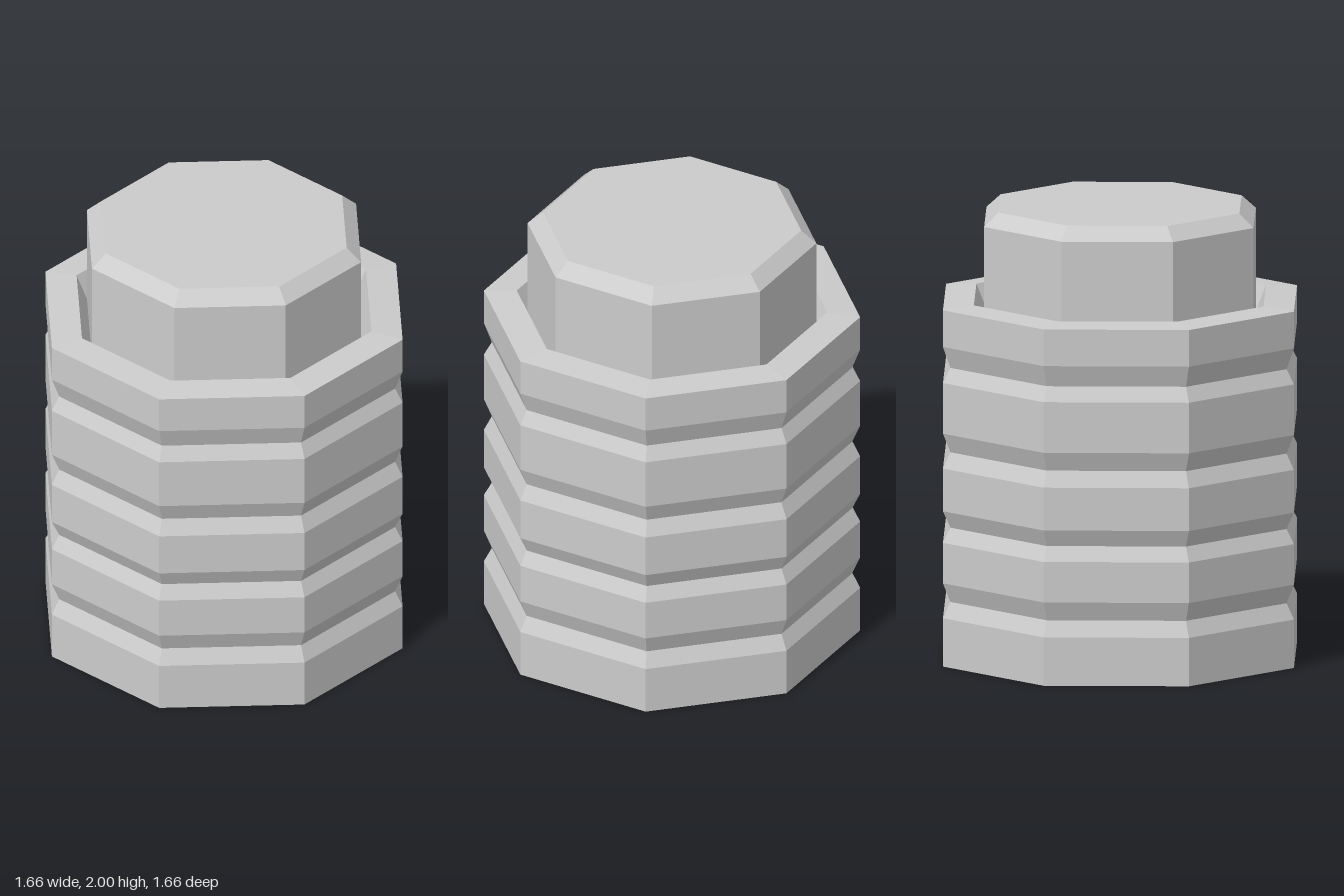
import * as THREE from 'three';

const SIDES = 8;
const RADIUS = 0.83, GROOVE_RADIUS = 0.795;

// Faceted surface of revolution from [radius, height] pairs
function lathe(name, profile) {
  const points = profile.map(([r, y]) => new THREE.Vector2(r, y));
  const material = new THREE.MeshStandardMaterial({
    color: 0xcccccc, flatShading: true, side: THREE.DoubleSide,
  });
  const mesh = new THREE.Mesh(new THREE.LatheGeometry(points, SIDES), material);
  mesh.name = name;
  return mesh;
}

export function createModel() {
  const group = new THREE.Group();
  group.name = 'ribbedPlug';

  // Hollow ribbed sleeve, open at the bottom; each groove is [lower edge, valley, upper edge]
  const grooves = [
    [0.215, 0.285, 0.37],
    [0.55, 0.615, 0.69],
    [0.88, 0.95, 1.035],
    [1.26, 1.325, 1.42],
  ];
  const sleeve = [[RADIUS, 0]];
  for (const [low, valley, high] of grooves) {
    sleeve.push([RADIUS, low], [GROOVE_RADIUS, valley], [RADIUS, high]);
  }
  // Rim, then a steep recess down to the core
  sleeve.push([RADIUS, 1.583], [0.685, 1.595], [0.635, 1.48]);
  group.add(lathe('ribbedSleeve', sleeve));

  // Raised core with a bevelled top
  group.add(lathe('core', [[0.637, 1.48], [0.637, 1.94], [0.57, 2], [0, 2]]));

  return group;
}
